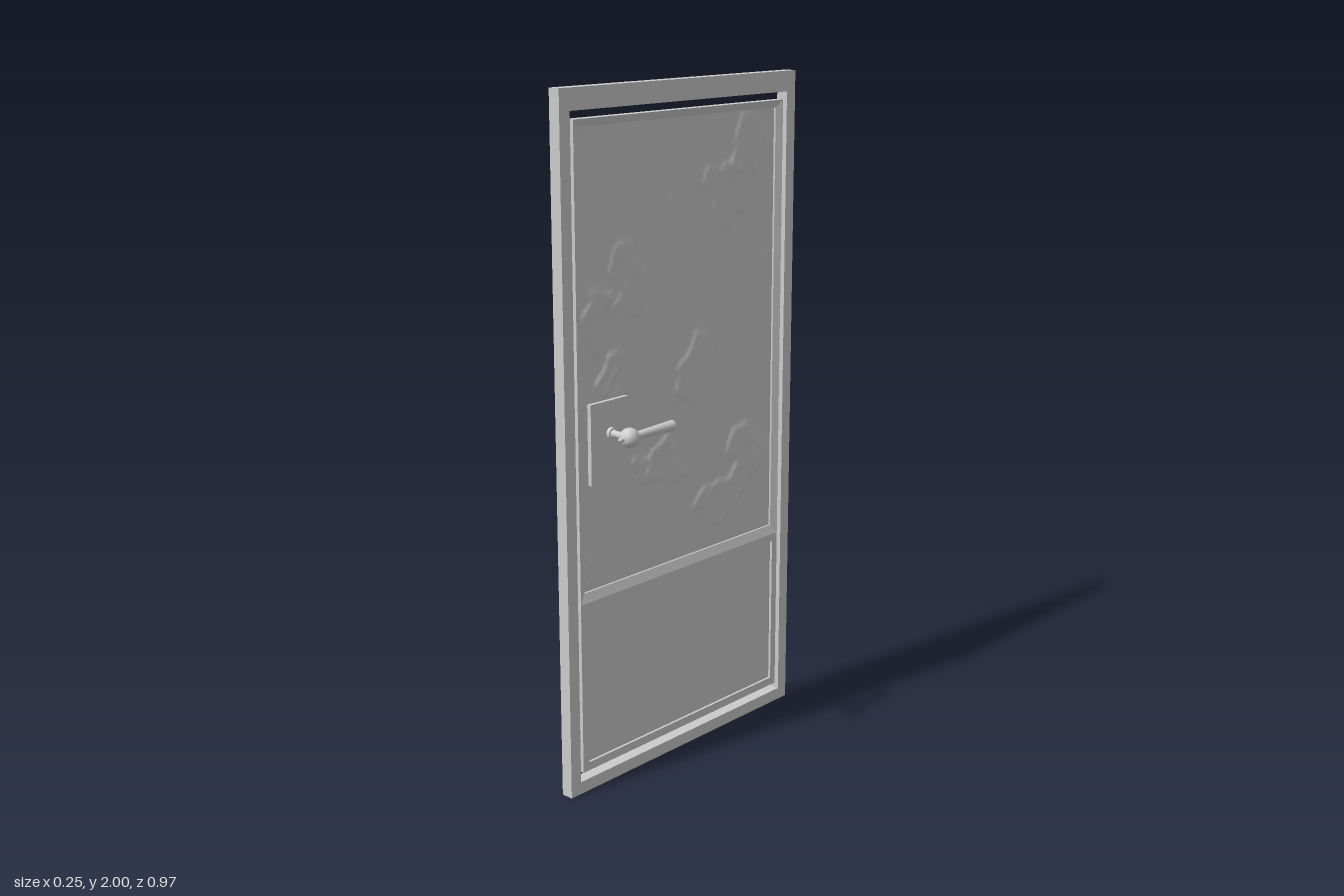
import * as THREE from 'three';

const grey = new THREE.MeshStandardMaterial({ color: 0xcccccc });
const flat = new THREE.MeshStandardMaterial({ color: 0xcccccc, flatShading: true });
const sheet = new THREE.MeshStandardMaterial({ color: 0xcccccc, side: THREE.DoubleSide });

function add(parent, name, geometry, material, x = 0, y = 0, z = 0) {
  const mesh = new THREE.Mesh(geometry, material);
  mesh.name = name;
  mesh.position.set(x, y, z);
  parent.add(mesh);
  return mesh;
}

// Mitred rectangular ring in the z-y plane; rect = [halfWidth, bottom, top].
// Its thickness runs from x0 to x1 at each of the outer and inner edges.
function ring(outer, inner, [ox0, ox1], [ix0, ix1]) {
  const section = [[outer, ox1], [inner, ix1], [inner, ix0], [outer, ox0]];
  const corner = ([w, b, t], x, k) => [x, k < 2 ? b : t, k === 0 || k === 3 ? w : -w];
  const pos = [];
  for (let k = 0; k < 4; k++) {
    for (let s = 0; s < 4; s++) {
      const [r0, x0] = section[s], [r1, x1] = section[(s + 1) % 4];
      const a = corner(r0, x0, k), b = corner(r0, x0, (k + 1) % 4);
      const c = corner(r1, x1, (k + 1) % 4), d = corner(r1, x1, k);
      pos.push(...a, ...b, ...c, ...a, ...c, ...d);
    }
  }
  const g = new THREE.BufferGeometry();
  g.setAttribute('position', new THREE.Float32BufferAttribute(pos, 3));
  g.computeVertexNormals();
  return g;
}

// Raised, ragged patches on the upper panel: z, y, half width, half height
const patches = [
  [-0.2, 1.67, 0.1, 0.1], [-0.29, 1.8, 0.07, 0.1],
  [0.22, 1.46, 0.07, 0.11], [0.35, 1.38, 0.06, 0.09],
  [-0.06, 1.16, 0.07, 0.11], [0.07, 0.9, 0.07, 0.07], [0.15, 0.93, 0.03, 0.04],
  [-0.2, 0.75, 0.13, 0.07], [-0.29, 0.87, 0.09, 0.08],
  [0.39, 0.66, 0.03, 0.06], [0.3, 1.22, 0.05, 0.05],
];

function relief(z, y) {
  const wz = z + 0.02 * Math.sin(y * 31 + 1) + 0.01 * Math.sin(y * 67 + z * 20);
  const wy = y + 0.02 * Math.sin(z * 37 + 2) + 0.01 * Math.sin(z * 71 - y * 18);
  let h = 0.0008 * (Math.sin(wz * 17 + wy * 9) + Math.sin(wy * 21 - wz * 8));
  for (const [pz, py, rz, ry] of patches) {
    const d = Math.hypot((wz - pz) / rz, (wy - py) / ry);
    const edge = 1 - THREE.MathUtils.smoothstep(d, 0.8, 1.05);
    h += 0.005 * edge * (0.35 + 0.65 * Math.min(d, 1)); // rim higher than middle
  }
  const border = Math.min(0.41 - Math.abs(z), y - 0.6, 1.895 - y);
  return Math.min(h, 0.007) * THREE.MathUtils.smoothstep(border, 0, 0.02);
}

function reliefPanel() {
  const g = new THREE.PlaneGeometry(0.82, 1.295, 90, 140);
  g.rotateY(Math.PI / 2).translate(0, 1.2475, 0);
  const p = g.attributes.position;
  for (let i = 0; i < p.count; i++) p.setX(i, -0.012 + relief(p.getZ(i), p.getY(i)));
  g.computeVertexNormals();
  return g;
}

// One lever handle with its plate, reaching out along +x
function makeHandle(name) {
  const h = new THREE.Group();
  h.name = name;
  const lathe = (pts, n) => new THREE.LatheGeometry(pts.map(([r, y]) => new THREE.Vector2(r, y)), n);
  add(h, 'plateBacking', new THREE.CylinderGeometry(0.045, 0.045, 0.013, 32).rotateZ(Math.PI / 2), grey, 0.006);
  add(h, 'rose', new THREE.CylinderGeometry(0.017, 0.017, 0.011, 24).rotateZ(Math.PI / 2), grey, 0.031);
  add(h, 'neck', lathe([[0.013, 0.03], [0.01, 0.045], [0.01, 0.066], [0.014, 0.074], [0.014, 0.08]], 20)
    .rotateZ(-Math.PI / 2), grey);
  add(h, 'ball', new THREE.SphereGeometry(0.028, 24, 16), grey, 0.098);
  add(h, 'lever', lathe([
    [0.011, 0.02], [0.0115, 0.04], [0.0155, 0.165], [0.0165, 0.17], [0.0155, 0.175],
    [0.009, 0.177], [0.008, 0.181], [0, 0.183],
  ], 20).rotateX(-Math.PI / 2), grey, 0.098);
  add(h, 'finial', lathe([[0, -0.042], [0.005, -0.04], [0.006, -0.036], [0.005, -0.031], [0.008, -0.026]], 16)
    .rotateX(-Math.PI / 2), grey, 0.098);
  return h;
}

export function createModel() {
  const door = new THREE.Group();
  door.name = 'door';

  // Fixed outer frame, with a narrow open gap around the leaf
  add(door, 'outerFrame', ring([0.485, 0, 2], [0.447, 0.037, 1.94], [-0.031, 0.006], [-0.031, 0.006]), flat);

  // Leaf: sloped moulding round the upper panel, flat rails round the lower one
  add(door, 'upperMoulding', ring([0.433, 0.572, 1.917], [0.41, 0.6, 1.895], [-0.027, 0.003], [-0.018, -0.006]), flat);
  add(door, 'lowerRails', ring([0.433, 0.06, 0.572], [0.41, 0.085, 0.548], [-0.027, 0.003], [-0.027, 0.003]), flat);
  add(door, 'upperPanel', reliefPanel(), sheet);
  add(door, 'lowerPanel', new THREE.BoxGeometry(0.014, 0.463, 0.82), flat, -0.012, 0.3165, 0);

  // Lock plates and handles on both faces
  for (const side of [1, -1]) {
    const label = side > 0 ? 'left' : 'right';
    add(door, label + 'LockPlate', new THREE.BoxGeometry(0.013, 0.23, 0.148), flat, side * 0.019, 1.035, 0.332);
    const handle = makeHandle(label + 'Handle');
    handle.position.set(0, 1.057, 0.33);
    if (side < 0) handle.rotation.z = Math.PI;
    door.add(handle);
  }
  return door;
}
